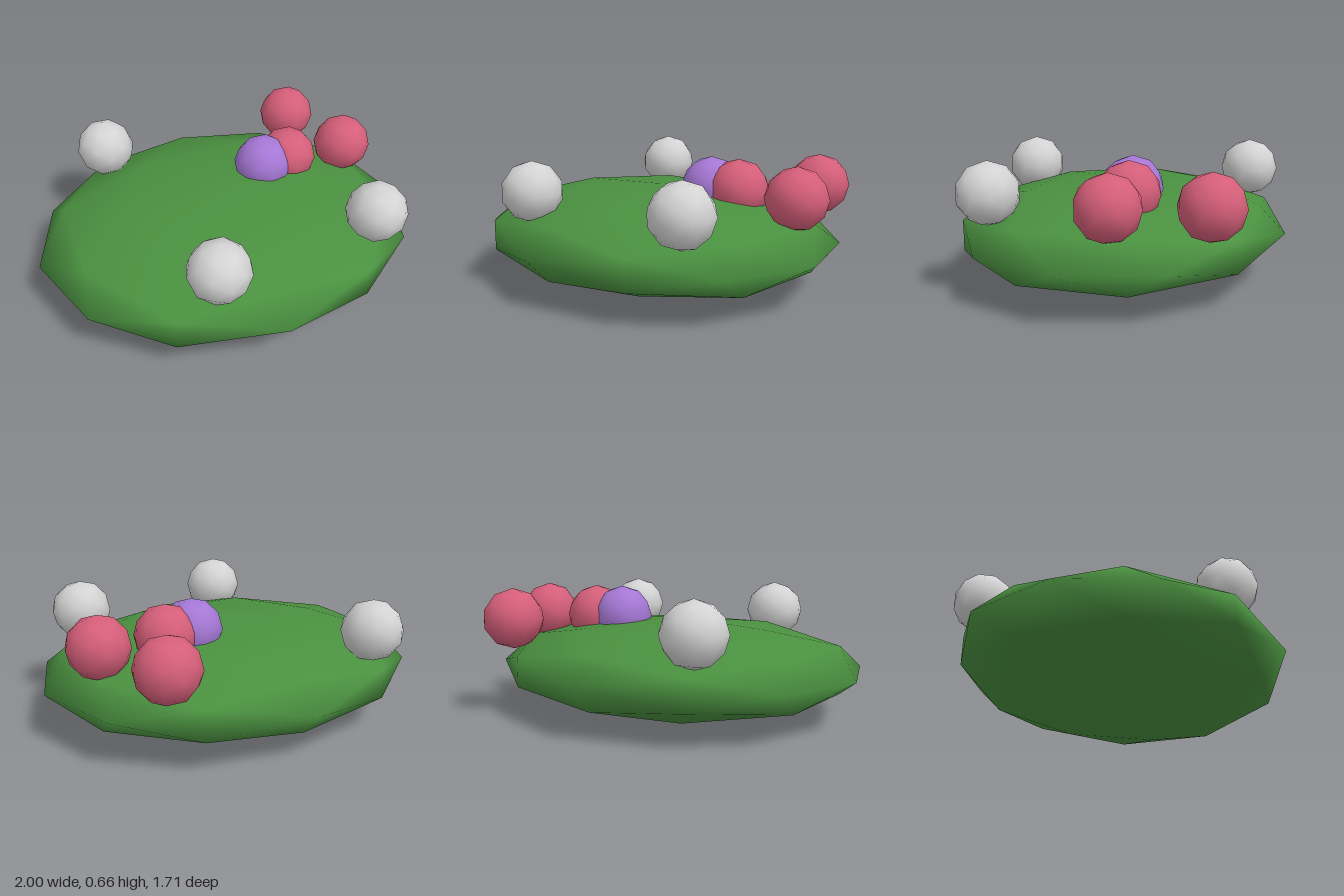
import * as THREE from 'three';

const mat = (name, color) => {
  const m = new THREE.MeshStandardMaterial({ color });
  m.name = name;
  return m;
};

export function createModel() {
  const model = new THREE.Group();
  model.name = 'leafyBushWithBerries';

  const green = mat('leaf green', 0x4a9040);
  const red = mat('rose red', 0xd65f7a);
  const purple = mat('soft purple', 0xa678d6);
  const white = mat('pale grey', 0xd4d4d4);

  // Flattened low-poly mound with smooth normals
  const bush = new THREE.Mesh(new THREE.IcosahedronGeometry(1, 1), green);
  bush.name = 'bush';
  bush.scale.set(1, 0.25, 0.853);
  bush.position.y = 0.25;
  model.add(bush);

  // Round blossoms resting on the mound: name, material, x, z
  const ball = new THREE.IcosahedronGeometry(0.156, 1);
  const blossoms = [
    ['whiteBlossomBack', white, -0.49, -0.595],
    ['whiteBlossomFront', white, -0.26, 0.615],
    ['whiteBlossomLeft', white, 0.63, 0.477],
    ['redBlossomBack', red, 0.625, -0.588],
    ['redBlossomLeft', red, 0.775, -0.165],
    ['redBlossomInner', red, 0.43, -0.157],
    ['purpleBlossom', purple, 0.273, -0.128],
  ];
  for (const [name, material, x, z] of blossoms) {
    const blossom = new THREE.Mesh(ball, material);
    blossom.name = name;
    blossom.position.set(x, 0.503, z);
    model.add(blossom);
  }
  return model;
}
